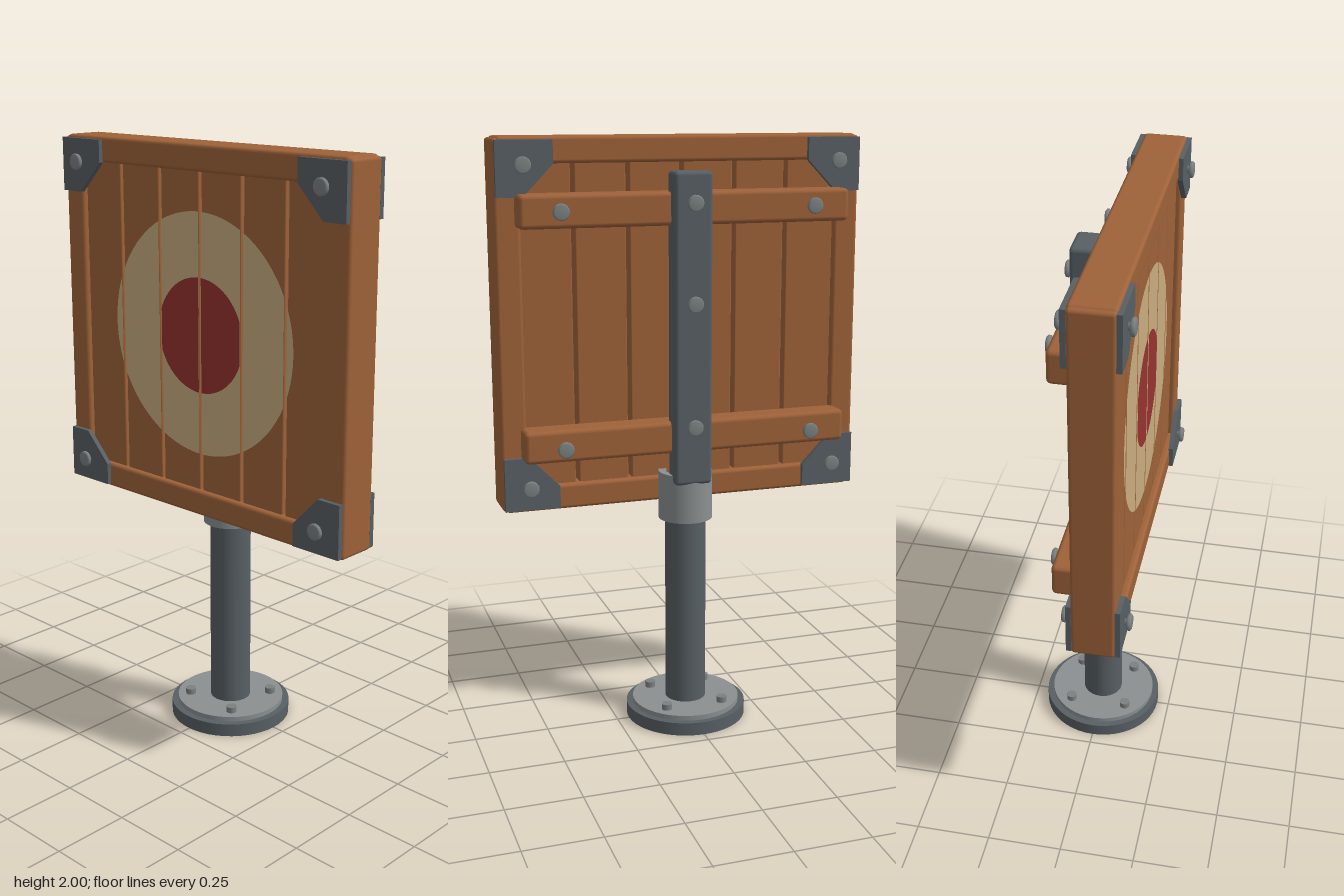
import * as THREE from 'three';
import { RoundedBoxGeometry } from 'three/addons/geometries/RoundedBoxGeometry.js';

const mat = (name, color, side = THREE.FrontSide) => {
  const m = new THREE.MeshStandardMaterial({ color, side });
  m.name = name;
  return m;
};

export function createModel() {
  const wood = mat('wood', 0x9e6239);
  const steel = mat('dark steel', 0x586065);
  const lightSteel = mat('light steel', 0x8b9090);
  const boltSteel = mat('bolt steel', 0x7b8182);
  const cream = mat('cream paint', 0xc9ae80, THREE.DoubleSide);
  const red = mat('red paint', 0x96332f, THREE.DoubleSide);

  const model = new THREE.Group();
  model.name = 'targetStand';

  const add = (name, geometry, material, x = 0, y = 0, z = 0) => {
    const mesh = new THREE.Mesh(geometry, material);
    mesh.name = name;
    mesh.position.set(x, y, z);
    model.add(mesh);
    return mesh;
  };
  // Softened box given by its limits on each axis
  const box = (name, material, [x0, x1], [y0, y1], [z0, z1], r = 0.012) =>
    add(name, new RoundedBoxGeometry(x1 - x0, y1 - y0, z1 - z0, 2, r), material,
      (x0 + x1) / 2, (y0 + y1) / 2, (z0 + z1) / 2);
  const lathe = (points, segments = 40) =>
    new THREE.LatheGeometry(points.map(([x, y]) => new THREE.Vector2(x, y)), segments);

  // Foot, pipe and collar
  add('baseDisc', new THREE.CylinderGeometry(0.208, 0.208, 0.045, 48), steel, 0, 0.0225, 0);
  add('basePlate', new THREE.CylinderGeometry(0.186, 0.186, 0.02, 48), lightSteel, 0, 0.052, 0);
  add('pipe', new THREE.CylinderGeometry(0.07, 0.07, 0.82, 32), steel, 0, 0.46, 0);
  const collar = new THREE.Shape().absarc(0, 0, 0.092, 0, Math.PI * 2);
  collar.holes.push(new THREE.Path().absarc(0, 0, 0.068, 0, Math.PI * 2, true));
  const collarGeometry = new THREE.ExtrudeGeometry(collar, { depth: 0.165, bevelEnabled: false, curveSegments: 32 });
  collarGeometry.rotateX(-Math.PI / 2);
  add('collar', collarGeometry, lightSteel, 0, 0.72, 0);
  for (const x of [-0.1, 0.1]) for (const z of [-0.1, 0.1]) {
    add('baseBolt', new THREE.CylinderGeometry(0.018, 0.018, 0.025, 12), boltSteel, x, 0.07, z);
  }

  // Frame around the board
  for (const s of [-1, 1]) {
    const x = s * 0.5825;
    box('frameStile', wood, [x - 0.0425, x + 0.0425], [0.785, 1.995], [0.02, 0.16]);
    const y = 1.39 + s * 0.5675;
    box('frameRail', wood, [-0.612, 0.612], [y - 0.0425, y + 0.0425], [0.0195, 0.1605]);
  }

  // Slice of a painted disc between two x limits
  const discSlice = (radius, x0, x1) => {
    const a = Math.max(x0, -radius), b = Math.min(x1, radius);
    if (a >= b) return null;
    const top = [], bottom = [], n = 24;
    for (let i = 0; i <= n; i++) {
      const x = a + (b - a) * (1 - Math.cos((Math.PI * i) / n)) / 2;
      const h = Math.sqrt(Math.max(0, radius * radius - x * x)) + 1e-4;
      top.unshift(new THREE.Vector2(x, h));
      bottom.push(new THREE.Vector2(x, -h));
    }
    return new THREE.ShapeGeometry(new THREE.Shape([...bottom, ...top]));
  };

  // Planks with the painted rings split across them
  const pitch = 0.183, gap = 0.006, front = 0.14;
  for (let i = -3; i < 3; i++) {
    const x0 = i * pitch + gap, x1 = (i + 1) * pitch - gap;
    box('plank', wood, [x0, x1], [0.85, 1.93], [0.04, front], 0.005);
    for (const [name, radius, paint, lift] of [
      ['outerRing', 0.4, cream, 0.002], ['bullseye', 0.19, red, 0.004],
    ]) {
      const slice = discSlice(radius, x0, x1);
      if (slice) add(name, slice, paint, 0, 1.39, front + lift);
    }
  }

  // Battens and the upright bar behind the board
  for (const y of [1.77, 1.0125]) {
    box('batten', wood, [-0.56, 0.56], [y - 0.054, y + 0.054], [-0.053, 0.045], 0.015);
  }
  box('backBar', steel, [-0.065, 0.065], [0.855, 1.89], [-0.094, -0.013], 0.014);

  // Round-headed bolt on a short shank, facing front (1) or back (-1)
  const boltGeometry = lathe([
    [0, -0.03], [0.012, -0.03], [0.012, -0.008], [0.022, -0.008], [0.027, -0.004],
    [0.027, 0.004], [0.022, 0.008], [0, 0.008],
  ], 16);
  const bolt = (name, x, y, z, facing) => {
    add(name, boltGeometry, boltSteel, x, y, z).rotation.x = facing * Math.PI / 2;
  };
  for (const y of [1.79, 1.465, 1.055]) bolt('barBolt', 0, y, -0.109, -1);
  for (const x of [-0.43, 0.43]) for (const y of [1.77, 1.005]) bolt('battenBolt', x, y, -0.07, -1);

  // Corner brackets on both faces
  for (const sx of [-1, 1]) for (const sy of [-1, 1]) {
    const corner = [[0.62, 0.6], [0.435, 0.6], [0.435, 0.525], [0.535, 0.422], [0.62, 0.422]]
      .map(([x, y]) => new THREE.Vector2(sx * x, sy * y));
    const plate = new THREE.ExtrudeGeometry(new THREE.Shape(corner), { depth: 0.017, bevelEnabled: false });
    for (const facing of [1, -1]) {
      add('cornerBracket', plate, steel, 0, 1.39, facing > 0 ? 0.158 : 0.004);
      bolt('bracketBolt', sx * 0.537, 1.39 + sy * 0.523, facing > 0 ? 0.19 : -0.016, facing);
    }
  }
  return model;
}
